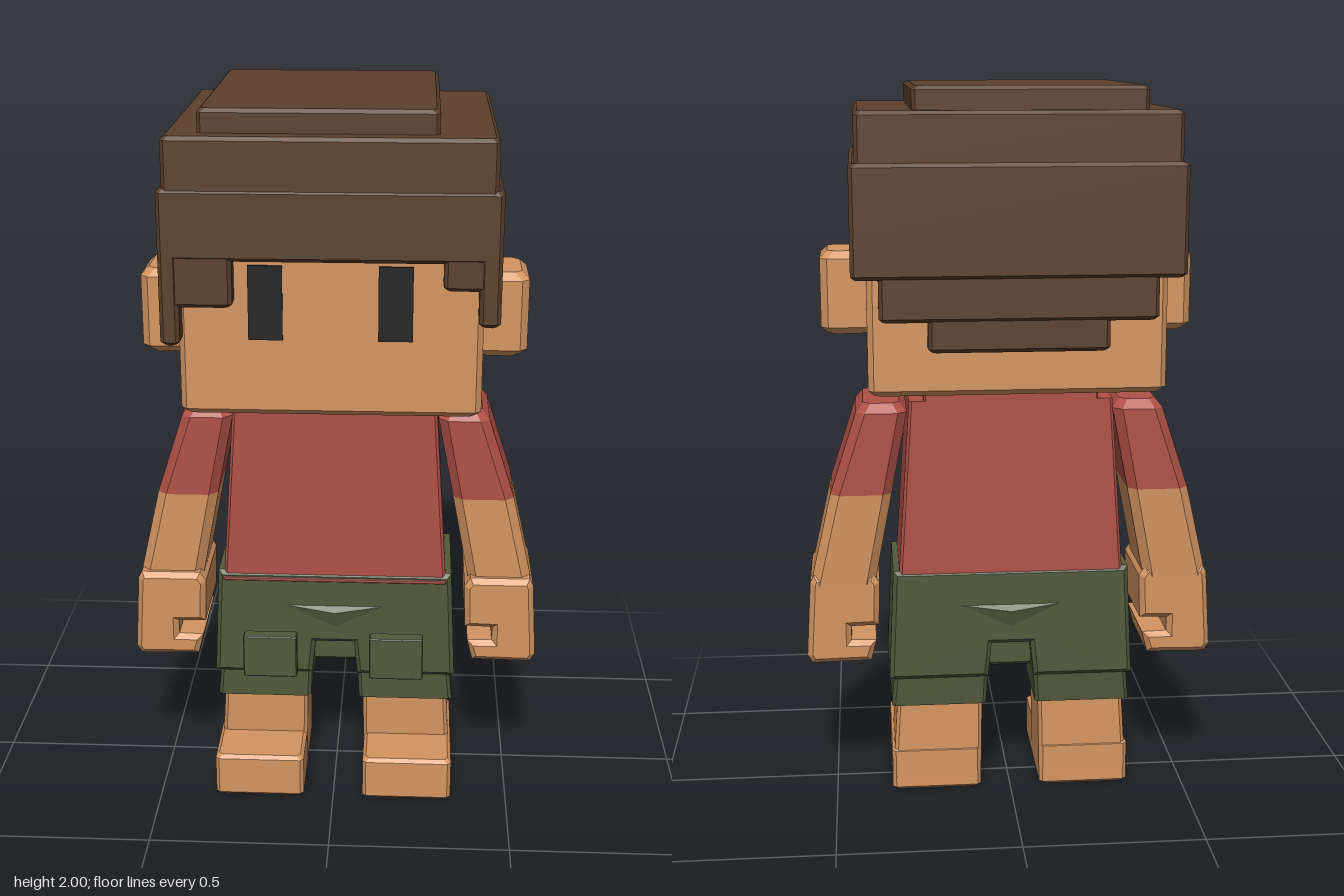
import * as THREE from 'three';
import { ConvexGeometry } from 'three/addons/geometries/ConvexGeometry.js';

const mat = (name, color) => {
  const m = new THREE.MeshStandardMaterial({ color });
  m.name = name;
  return m;
};

// Stacked chamfered rectangles, bottom to top: [y, x0, x1, z0, z1, chamfer]
function loft(rings) {
  const loops = rings.map(([y, x0, x1, z0, z1, c]) => [
    [x1, z0 + c], [x1, z1 - c], [x1 - c, z1], [x0 + c, z1],
    [x0, z1 - c], [x0, z0 + c], [x0 + c, z0], [x1 - c, z0],
  ].map(([x, z]) => [x, y, z]));
  const pos = [];
  const tri = (...p) => p.forEach((v) => pos.push(...v));
  for (let r = 0; r < loops.length - 1; r++) {
    for (let i = 0; i < 8; i++) {
      const j = (i + 1) % 8, a = loops[r], b = loops[r + 1];
      tri(a[i], b[i], a[j]);
      tri(a[j], b[i], b[j]);
    }
  }
  const bottom = loops[0], top = loops[loops.length - 1];
  for (let i = 1; i < 7; i++) {
    tri(bottom[0], bottom[i], bottom[i + 1]);
    tri(top[0], top[i + 1], top[i]);
  }
  const g = new THREE.BufferGeometry();
  g.setAttribute('position', new THREE.Float32BufferAttribute(pos, 3));
  g.computeVertexNormals();
  return g;
}

// Box with small chamfers on every edge
const box = (x0, x1, y0, y1, z0, z1, c = 0.01) => loft([
  [y0, x0 + c, x1 - c, z0 + c, z1 - c, c],
  [y0 + c, x0, x1, z0, z1, c],
  [y1 - c, x0, x1, z0, z1, c],
  [y1, x0 + c, x1 - c, z0 + c, z1 - c, c],
]);

// Outline in x and y, given depth from z0 to z1, with a bevel kept inside it
function slab(points, z0, z1, b) {
  const shape = new THREE.Shape(points.map(([x, y]) => new THREE.Vector2(x, y)));
  const g = new THREE.ExtrudeGeometry(shape, {
    depth: z1 - z0 - 2 * b, bevelEnabled: true, bevelSegments: 1,
    bevelSize: b, bevelThickness: b, bevelOffset: -b,
  });
  return g.translate(0, 0, z0 + b);
}

export function createModel() {
  const skin = mat('skin', 0xd49561);
  const hair = mat('hair brown', 0x5c402b);
  const red = mat('shirt red', 0xb05147);
  const green = mat('shorts green', 0x525a3b);
  const black = mat('eye black', 0x242424);

  const model = new THREE.Group();
  model.name = 'blockFigure';
  const add = (name, geometry, material) => {
    const m = new THREE.Mesh(geometry, material);
    m.name = name;
    model.add(m);
  };

  // Head and neck
  add('head', box(-0.39, 0.39, 1.21, 1.75, -0.35, 0.355, 0.015), skin);
  add('neck', box(-0.235, 0.235, 1.12, 1.25, -0.145, 0.15), skin);

  // Hair: stacked caps, then locks hanging from them
  const hairBoxes = {
    hairTop: [-0.33, 0.27, 1.92, 2.0, -0.365, 0.35],
    hairCrown: [-0.415, 0.415, 1.79, 1.94, -0.395, 0.405],
    hairBand: [-0.43, 0.43, 1.63, 1.812, -0.405, 0.41],
    hairBack: [-0.43, 0.43, 1.52, 1.66, -0.405, -0.34],
    hairNapeUpper: [-0.36, 0.36, 1.41, 1.6, -0.397, -0.335],
    hairNapeLower: [-0.235, 0.235, 1.33, 1.5, -0.39, -0.335],
    hairSideLeft: [0.375, 0.43, 1.555, 1.66, -0.4, 0.4],
    hairSideRight: [-0.43, -0.375, 1.555, 1.66, -0.4, 0.4],
    fringeLeft: [0.285, 0.428, 1.56, 1.66, 0.34, 0.408],
    lockLeft: [0.375, 0.43, 1.467, 1.66, 0.19, 0.41],
    fringeRight: [-0.4, -0.245, 1.51, 1.66, 0.34, 0.408],
    lockRight: [-0.43, -0.38, 1.41, 1.66, 0.25, 0.41],
  };
  for (const [name, b] of Object.entries(hairBoxes)) add(name, box(...b), hair);

  // Shirt
  add('shirt', loft([
    [0.64, -0.315, 0.315, -0.148, 0.153, 0.008],
    [1.155, -0.28, 0.28, -0.148, 0.155, 0.008],
  ]), red);
  add('collar', box(-0.24, 0.24, 1.14, 1.183, -0.148, 0.155, 0.006), red);
  add('shirtHem', box(-0.315, 0.315, 0.643, 0.654, 0.1, 0.161, 0.002), red);

  // Shorts
  add('shorts', slab([
    [-0.345, 0.35], [-0.065, 0.35], [-0.055, 0.45], [0.055, 0.45],
    [0.065, 0.35], [0.345, 0.35], [0.33, 0.67], [-0.33, 0.67],
  ], -0.152, 0.157, 0.012), green);
  add('crotch', box(-0.07, 0.07, 0.365, 0.5, -0.1, 0.1), green);
  for (const [name, z, dir] of [['frontFold', 0.155, 1], ['backFold', -0.15, -1]]) {
    add(name, new ConvexGeometry([
      new THREE.Vector3(-0.16, 0.57, z), new THREE.Vector3(0.16, 0.57, z),
      new THREE.Vector3(0, 0.55, z + 0.015 * dir), new THREE.Vector3(0, 0.495, z),
    ]), green);
  }

  // Paired parts; s is +1 for the left side and -1 for the right
  for (const [side, s] of [['left', 1], ['right', -1]]) {
    const span = (a, b) => (s > 0 ? [a, b] : [-b, -a]);
    const ring = (y, a, b, z0, z1, c) => [y, ...span(a, b), z0, z1, c];

    add(side + 'Ear', box(...span(0.37, 0.515), 1.32, 1.55, -0.025, 0.178, 0.02), skin);
    add(side + 'Eye', new THREE.BoxGeometry(0.088, 0.195, 0.008)
      .translate(s * 0.166, 1.513, 0.357), black);

    // Arm
    add(side + 'Sleeve', loft([
      ring(0.89, 0.33, 0.5, -0.138, 0.128, 0.025),
      ring(1.12, 0.285, 0.425, -0.138, 0.128, 0.025),
      ring(1.145, 0.305, 0.405, -0.115, 0.105, 0.02),
    ]), red);
    add(side + 'Forearm', loft([
      ring(0.63, 0.38, 0.56, -0.13, 0.128, 0.025),
      ring(0.89, 0.33, 0.5, -0.138, 0.128, 0.025),
    ]), skin);
    add(side + 'Hand', slab([
      [0.385, 0.655], [0.552, 0.655], [0.562, 0.635], [0.575, 0.42], [0.56, 0.397],
      [0.395, 0.4], [0.38, 0.46], [0.45, 0.462], [0.45, 0.503], [0.372, 0.505], [0.368, 0.63],
    ].map(([x, y]) => [s * x, y]), -0.128, 0.153, 0.015), skin);

    // Leg and foot
    add(side + 'Cuff', loft([
      ring(0.265, 0.07, 0.34, -0.133, 0.137, 0.01),
      ring(0.37, 0.065, 0.33, -0.14, 0.14, 0.01),
    ]), green);
    add(side + 'Leg', loft([
      ring(0.01, 0.085, 0.34, -0.123, 0.11, 0.01),
      ring(0.3, 0.08, 0.322, -0.115, 0.11, 0.01),
    ]), skin);
    add(side + 'Foot', box(...span(0.085, 0.34), 0, 0.13, -0.122, 0.26, 0.01), skin);

    // Pocket flap standing out in front of the shorts
    add(side + 'Pocket', box(...span(0.102, 0.253), 0.388, 0.513, 0.213, 0.254, 0.003), green);
  }
  return model;
}
